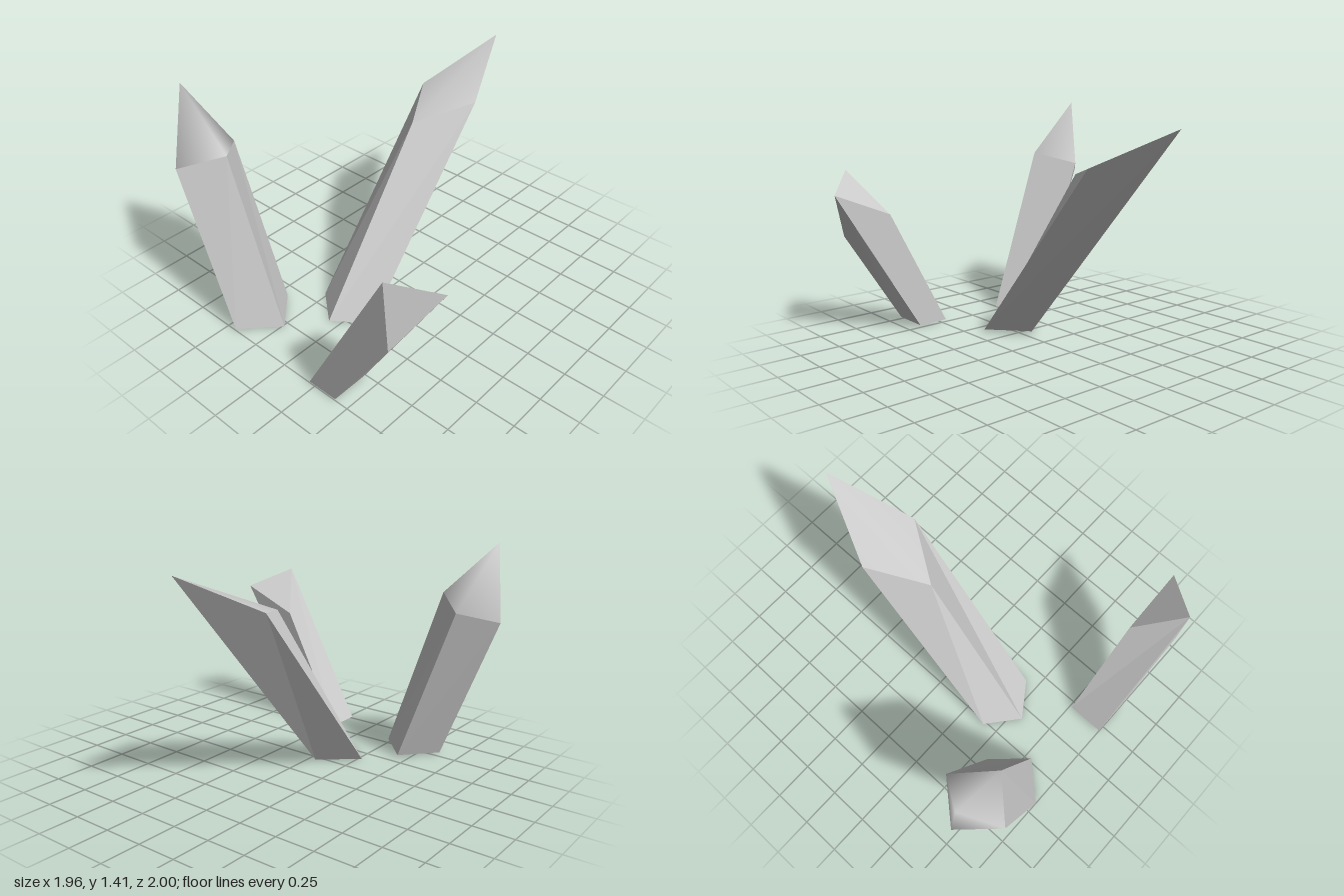
import * as THREE from 'three';

const material = new THREE.MeshStandardMaterial({ color: 0xcccccc });

// Turns a list of corners and triangles into a mesh, faceted or smooth
function facetMesh(name, points, triangles, smooth) {
  let geometry = new THREE.BufferGeometry();
  geometry.setAttribute('position', new THREE.Float32BufferAttribute(points.flat(), 3));
  geometry.setIndex(triangles.flat());
  if (!smooth) geometry = geometry.toNonIndexed();
  geometry.computeVertexNormals();
  const mesh = new THREE.Mesh(geometry, material);
  mesh.name = name;
  return mesh;
}

// Four-sided leaning prism between two rings (counter-clockwise from above), closed by a cap
function crystal(name, base, top, capPoints, capTriangles, smoothCap) {
  const group = new THREE.Group();
  group.name = name;
  const shaft = [[0, 2, 1], [0, 3, 2]];
  for (let i = 0; i < 4; i++) {
    const j = (i + 1) % 4;
    shaft.push([i, j, 4 + j], [i, 4 + j, 4 + i]);
  }
  group.add(facetMesh(name + 'Shaft', [...base, ...top], shaft, false));
  group.add(facetMesh(name + 'Cap', [...top, ...capPoints], capTriangles, smoothCap));
  return group;
}

export function createModel() {
  const model = new THREE.Group();
  model.name = 'crystalCluster';

  // Crystal with a pyramid point, leaning towards -x
  model.add(crystal('pointedCrystal',
    [[-0.43, 0.01, 1], [-0.23, 0.01, 0.79], [-0.43, 0.01, 0.58], [-0.62, 0.01, 0.79]],
    [[-0.79, 1, 1], [-0.59, 1.07, 0.79], [-0.79, 1, 0.58], [-0.98, 0.93, 0.79]],
    [[-0.94, 1.41, 0.79]],
    [[0, 1, 4], [1, 2, 4], [2, 3, 4], [3, 0, 4]], true));

  // Tall crystal leaning back, its rear corner drawn out to the tip
  model.add(crystal('tallCrystal',
    [[-0.07, 0, 0.57], [0.145, 0.01, 0.42], [-0.06, 0.01, 0.19], [-0.27, 0, 0.405]],
    [[-0.07, 1.06, -0.2], [0.145, 1.14, -0.53], [-0.055, 1.37, -1], [-0.27, 1.13, -0.54]],
    [],
    [[0, 1, 2], [0, 2, 3]], true));

  // Short crystal leaning towards +x, cut by two facets
  model.add(crystal('shortCrystal',
    [[0.41, 0.01, 1], [0.41, 0.01, 0.765], [0.21, 0.01, 0.765], [0.21, 0.01, 1]],
    [[0.805, 0.62, 1], [0.975, 0.925, 0.765], [0.605, 0.77, 0.765], [0.775, 1.04, 1]],
    [],
    [[0, 1, 3], [1, 2, 3]], false));

  return model;
}
